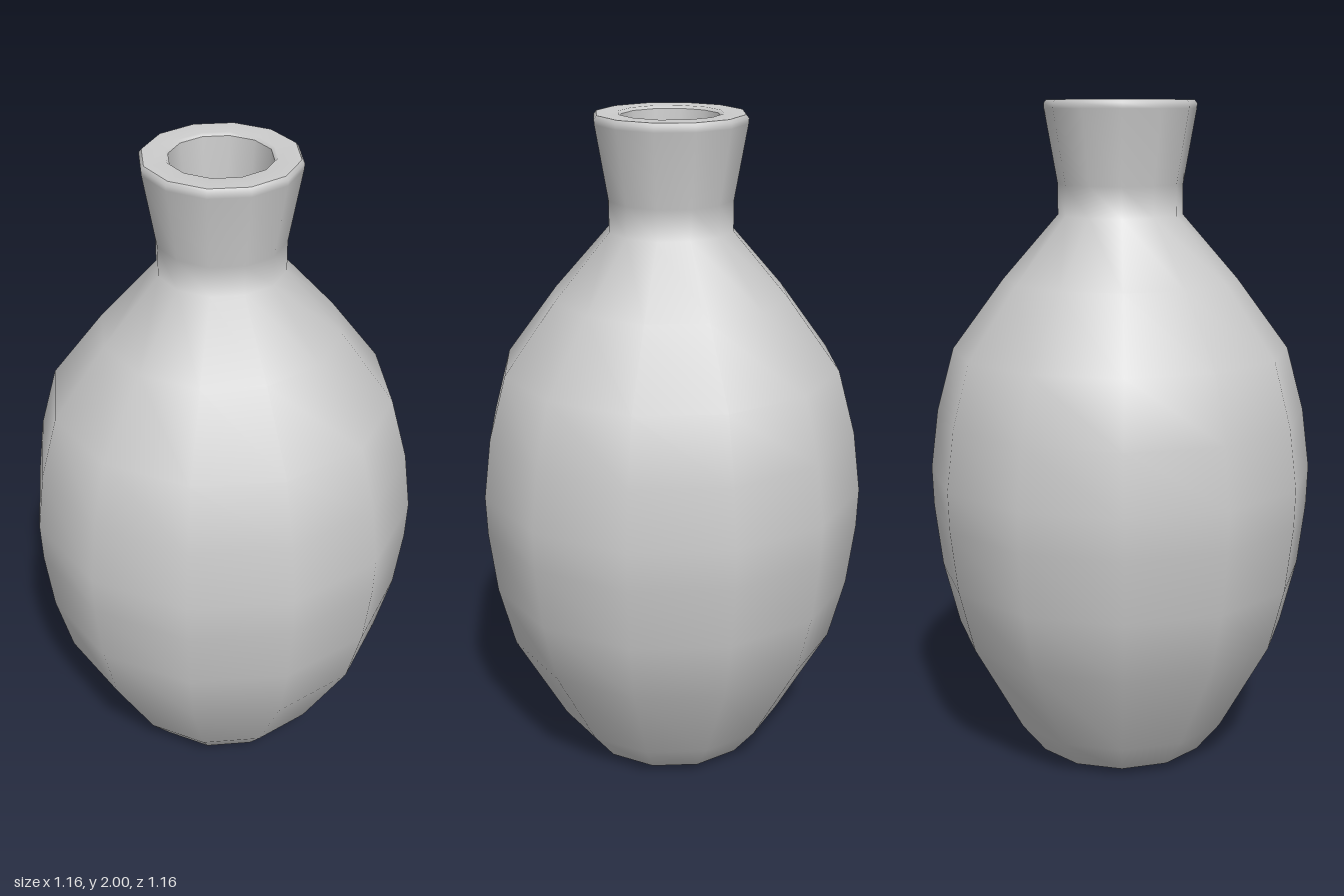
import * as THREE from 'three';

const SIDES = 12;

// Turns a profile of [radius, height] points into a faceted ring with smooth shading
function turned(name, profile, material) {
  const points = profile.map(([r, y]) => new THREE.Vector2(r, y));
  const mesh = new THREE.Mesh(new THREE.LatheGeometry(points, SIDES), material);
  mesh.name = name;
  return mesh;
}

export function createModel() {
  const group = new THREE.Group();
  group.name = 'vase';
  const material = new THREE.MeshStandardMaterial({ color: 0xcccccc });

  // Base, belly, shoulder, flared neck and the outer bevel of the lip
  const outer = [
    [0, 0], [0.21, 0], [0.235, 0.004], [0.272, 0.022], [0.35, 0.12],
    [0.505, 0.4], [0.553, 0.59], [0.576, 0.78], [0.58, 0.9],
    [0.557, 1.08], [0.505, 1.27], [0.35, 1.48], [0.185, 1.67],
    [0.185, 1.76], [0.223, 1.975], [0.224, 1.99], [0.216, 2],
  ];

  // Flat lip with a small inner bevel
  const lip = [[0.216, 2], [0.152, 2], [0.144, 1.992]];

  // Hollow inside, following the outer wall down to a flat floor
  const inner = [
    [0.144, 1.992], [0.125, 1.77], [0.125, 1.65], [0.3, 1.44],
    [0.445, 1.24], [0.495, 1.07], [0.52, 0.9], [0.516, 0.78],
    [0.493, 0.6], [0.447, 0.42], [0.3, 0.15], [0.24, 0.07],
    [0.2, 0.06], [0, 0.06],
  ];

  group.add(
    turned('outerWall', outer, material),
    turned('lip', lip, material),
    turned('innerWall', inner, material),
  );
  return group;
}
